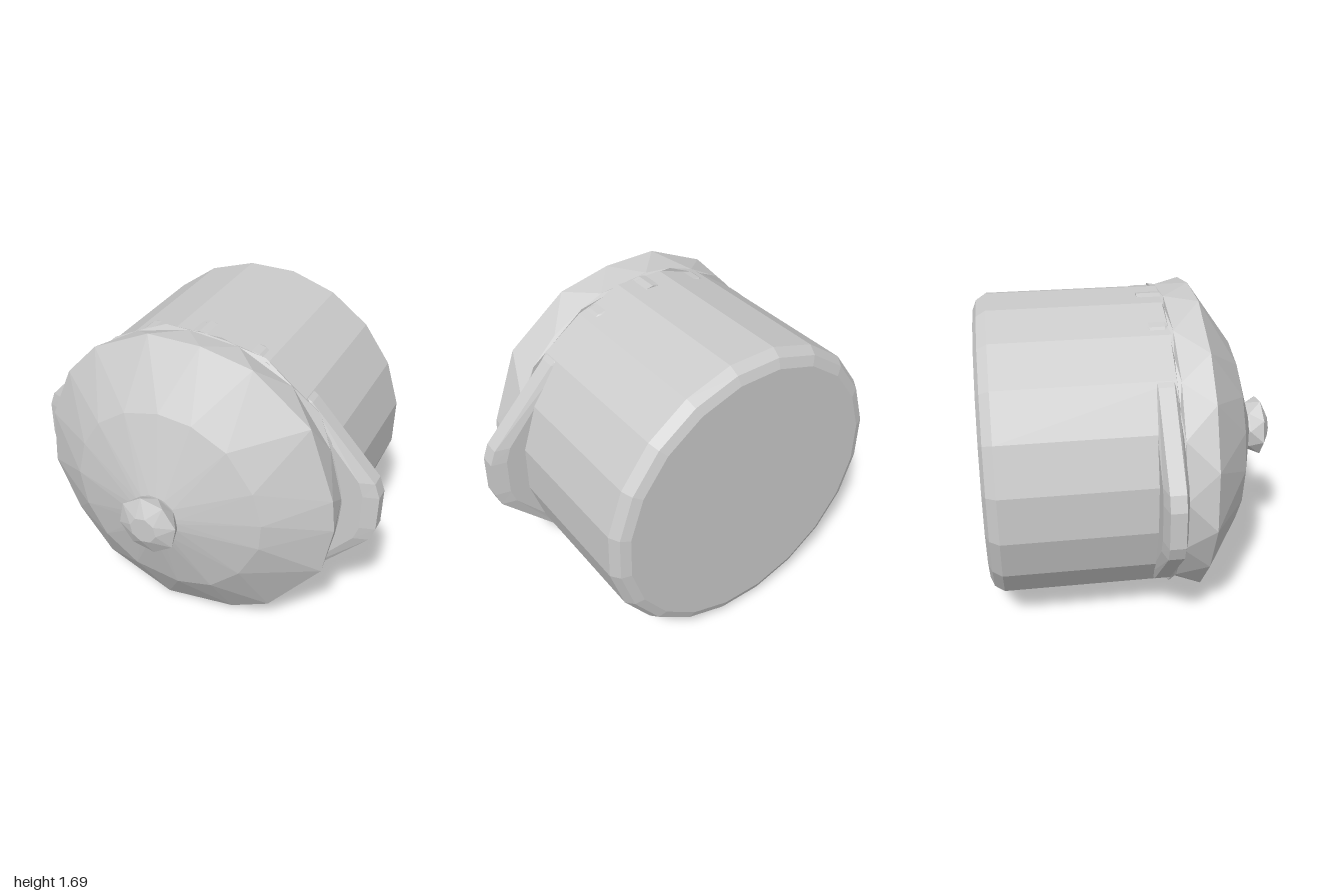
import * as THREE from 'three';

const CENTRE_Y = 0.855;

// Regular polygon outline, counter-clockwise
function ring(n, phase = 0) {
  return Array.from({ length: n }, (_, i) => {
    const a = ((i + phase) / n) * Math.PI * 2;
    return [Math.cos(a), Math.sin(a)];
  });
}

// Loft an outline through sections [z, scaleX, scaleY] from back to front, capping both ends.
// stagger shifts every other section by half a step for triangular facets.
function loft(name, outline, sections, stagger = false) {
  const n = outline.length;
  const pos = [];
  const idx = [];
  sections.forEach(([z, sx, sy = sx], k) => {
    for (let i = 0; i < n; i++) {
      const t = stagger ? k / 2 : 0;
      const p = outline[(i + Math.floor(t)) % n];
      const q = outline[(i + Math.ceil(t)) % n];
      pos.push(((p[0] + q[0]) / 2) * sx, ((p[1] + q[1]) / 2) * sy, z);
    }
  });
  const last = (sections.length - 1) * n;
  const back = pos.length / 3;
  pos.push(0, 0, sections[0][0], 0, 0, sections[sections.length - 1][0]);
  for (let i = 0; i < n; i++) {
    const j = (i + 1) % n;
    for (let r = 0; r < last; r += n) {
      idx.push(r + i, r + j, r + n + i, r + n + i, r + j, r + n + j);
    }
    idx.push(back, j, i, back + 1, last + i, last + j);
  }
  const geo = new THREE.BufferGeometry();
  geo.setAttribute('position', new THREE.Float32BufferAttribute(pos, 3));
  geo.setIndex(idx);
  const flat = geo.toNonIndexed();
  flat.computeVertexNormals();
  const mesh = new THREE.Mesh(flat, new THREE.MeshStandardMaterial({ color: 0xcccccc, flatShading: true }));
  mesh.name = name;
  mesh.position.y = CENTRE_Y;
  return mesh;
}

export function createModel() {
  const group = new THREE.Group();
  group.name = 'pot';

  // Pot body with a chamfered base
  group.add(loft('body', ring(20, 0.5), [
    [-0.8, 0.74], [-0.78, 0.79], [-0.73, 0.822], [0.17, 0.822],
  ]));

  // Rim flange whose outline stretches into a handle on each side
  const quarter = [[1, 0.1], [0.97, 0.18], [0.61, 0.56], [0.32, 0.755]];
  const upper = [...quarter, [0, 0.82], ...quarter.map(([x, y]) => [-x, y]).reverse()];
  const flange = [...upper, ...upper.map(([x, y]) => [-x, -y])];
  group.add(loft('handleFlange', flange, [
    [0.045, 0.92, 1], [0.065, 1, 1], [0.145, 1, 1], [0.17, 0.92, 1],
  ]));

  // Domed lid with a slightly irregular rim
  const lidRim = [
    [0.84, -0.03], [0.82, 0.15], [0.68, 0.535], [0.37, 0.775],
    [0.09, 0.835], [-0.2, 0.835], [-0.52, 0.685], [-0.7, 0.495],
    [-0.83, 0.195], [-0.85, -0.125], [-0.72, -0.43], [-0.52, -0.685],
    [-0.13, -0.855], [0.28, -0.795], [0.5, -0.685], [0.79, -0.32],
  ];
  group.add(loft('lid', lidRim, [
    [0.16, 0.97], [0.18, 0.98], [0.335, 1], [0.545, 0.64], [0.67, 0.15],
  ], true));

  // Lid knob
  group.add(loft('knob', ring(8, 0.25), [
    [0.65, 0.11], [0.68, 0.145], [0.75, 0.165], [0.795, 0.08],
  ], true));

  return group;
}
